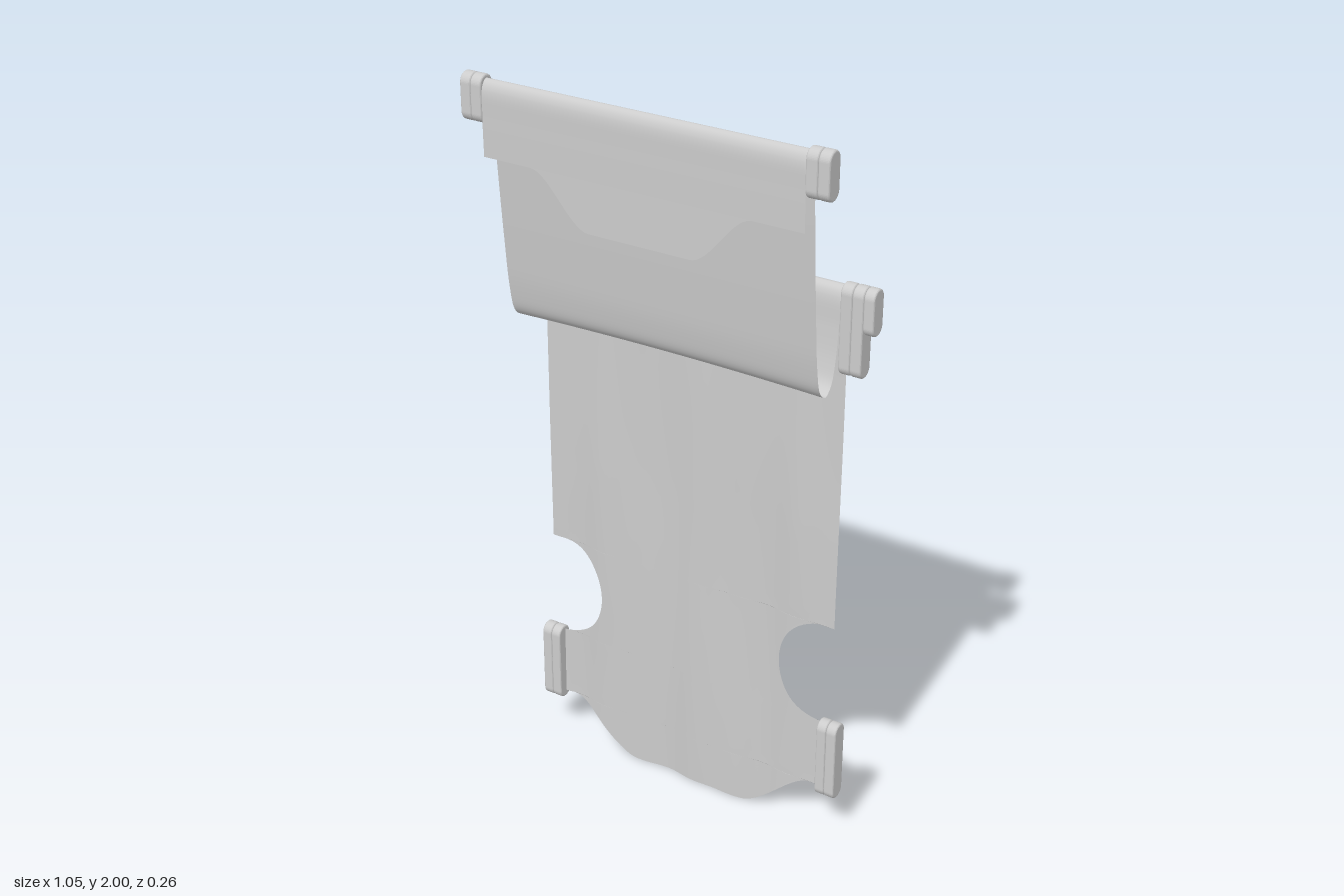
import * as THREE from 'three';

const grey = new THREE.MeshStandardMaterial({ color: 0xcccccc, side: THREE.DoubleSide });
const smooth = (t) => t * t * (3 - 2 * t);

// Soft folds of the cloth, strongest on the hanging back panel
function fold(x, y) {
  const a = 0.0045 * Math.min(1, Math.max(0, (1.5 - y) / 0.6));
  return a * (Math.sin(x * 21 + 0.6 * y) + 0.6 * Math.sin(x * 43 + 1.3 - y) + 0.4 * Math.sin(x * 9 + y * 5));
}

// Rows across the cloth: { z, y, w } with w = half width, back = hanging panel
function clothRows() {
  const rows = [];
  const add = (z, y, w, back = false) => rows.push({ z, y, w, back });

  // Shaped front flap: narrow tongue widening through an S-curve
  for (let i = 0; i <= 20; i++) {
    const y = 1.668 + 0.132 * smooth(i / 20);
    add(0.126, y, 0.14 + 0.165 * (i / 20));
  }
  add(0.126, 1.8, 0.44);

  // Over the front roll, down into the sag, up and over the back roll
  const path = new THREE.CatmullRomCurve3([
    [0.126, 1.8], [0.127, 1.9], [0.126, 1.965], [0.117, 1.985], [0.106, 1.991], [0.094, 1.983], [0.087, 1.96],
    [0.084, 1.88], [0.074, 1.74], [0.059, 1.565], [0.044, 1.43], [0.027, 1.37], [0, 1.35], [-0.026, 1.368],
    [-0.043, 1.42], [-0.053, 1.5], [-0.058, 1.575], [-0.067, 1.595], [-0.08, 1.602], [-0.095, 1.594],
    [-0.103, 1.575], [-0.105, 1.5], [-0.105, 1.4],
  ].map(([z, y]) => new THREE.Vector3(0, y, z)));
  path.getPoints(132).slice(1).forEach((p) => add(p.z, p.y, 0.439));

  // Straight back panel
  for (let i = 1; i <= 24; i++) add(-0.105, 1.4 - 0.76 * (i / 24), 0.436, true);

  // Round side notches
  for (let i = 0; i <= 28; i++) {
    const a = (i / 28) * Math.PI;
    add(-0.105, 0.4925 + 0.1475 * Math.cos(a), 0.405 - 0.13 * Math.sin(a), true);
  }

  // Lower band and tapered hem
  for (let i = 0; i <= 8; i++) add(-0.105, 0.345 - 0.205 * (i / 8), 0.415, true);
  for (let i = 0; i <= 20; i++) {
    const t = i / 20;
    add(-0.105, 0.14 * (1 - smooth(t)), 0.385 - 0.215 * t, true);
  }
  return rows;
}

function cloth() {
  const rows = clothRows(), cols = 64, pos = [], index = [];
  rows.forEach((r, j) => {
    for (let i = 0; i <= cols; i++) {
      const x = r.w * (2 * i / cols - 1);
      const sag = !r.back && r.y < 1.45 && r.z > -0.06 ? -0.008 * (x / 0.44) ** 2 * (1.45 - r.y) / 0.1 : 0;
      pos.push(x, r.y + sag, r.z + (r.back ? fold(x, r.y) : 0));
      if (j && i) {
        const d = j * (cols + 1) + i, c = d - 1, b = d - cols - 1, a = b - 1;
        index.push(a, b, c, b, d, c);
      }
    }
  });
  const g = new THREE.BufferGeometry();
  g.setAttribute('position', new THREE.Float32BufferAttribute(pos, 3));
  g.setIndex(index);
  g.computeVertexNormals();
  const mesh = new THREE.Mesh(g, grey);
  mesh.name = 'drapedCloth';
  return mesh;
}

// Upright pill-shaped plate with bevelled rims, spanning x0..x1 and y0..y1
function plate(name, x0, x1, y0, y1, z) {
  const bevel = 0.005, R = 0.025, r = R - bevel;
  const s = new THREE.Shape();
  s.absarc(0, y1 - R, r, 0, Math.PI);
  s.absarc(0, y0 + R, r, Math.PI, Math.PI * 2);
  s.closePath();
  const g = new THREE.ExtrudeGeometry(s, {
    depth: x1 - x0 - 2 * bevel, bevelSize: bevel, bevelThickness: bevel, bevelSegments: 3, curveSegments: 12,
  });
  g.translate(0, 0, bevel);
  g.rotateY(Math.PI / 2);
  const mesh = new THREE.Mesh(g, grey);
  mesh.position.set(x0, 0, z);
  mesh.name = name;
  return mesh;
}

export function createModel() {
  const model = new THREE.Group();
  model.name = 'hangingCloth';
  model.add(cloth());

  // End plates: [name, inner x, outer x, bottom, top, z]
  const plates = [
    ['frontRollInnerPlate', 0.438, 0.469, 1.88, 2.0, 0.107],
    ['frontRollOuterPlate', 0.469, 0.499, 1.88, 2.0, 0.107],
    ['backRollInnerPlate', 0.438, 0.469, 1.375, 1.61, -0.08],
    ['backRollMiddlePlate', 0.469, 0.499, 1.375, 1.61, -0.08],
    ['backRollOuterPlate', 0.499, 0.527, 1.49, 1.61, -0.08],
    ['lowerInnerPlate', 0.407, 0.435, 0.122, 0.355, -0.105],
    ['lowerOuterPlate', 0.435, 0.464, 0.122, 0.355, -0.105],
  ];
  for (const [name, x0, x1, y0, y1, z] of plates) {
    model.add(plate(name + 'Left', x0, x1, y0, y1, z));
    model.add(plate(name + 'Right', -x1, -x0, y0, y1, z));
  }
  return model;
}
